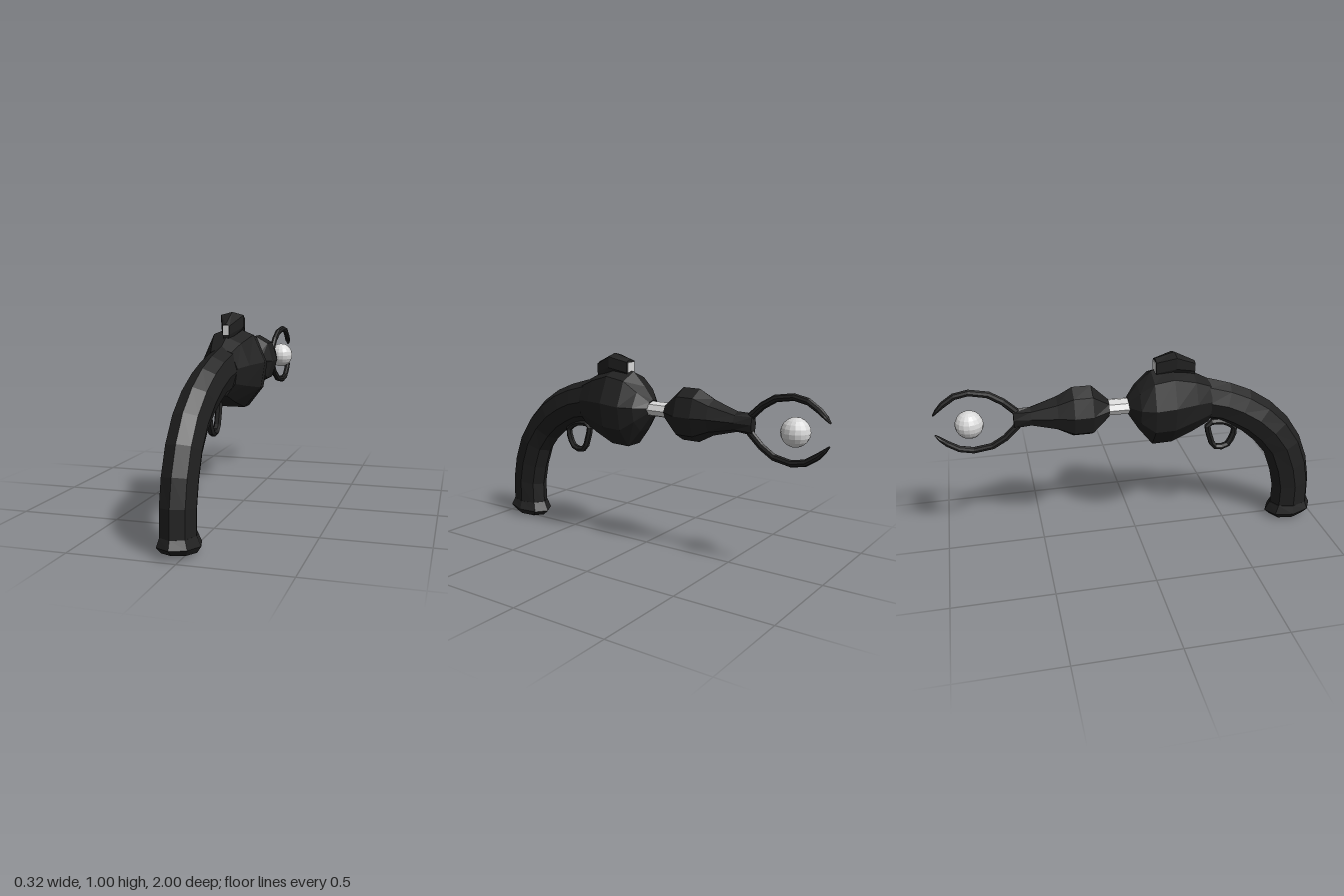
import * as THREE from 'three';

const black = new THREE.MeshStandardMaterial({ color: 0x202020 });
black.name = 'blackened metal';
const silver = new THREE.MeshStandardMaterial({ color: 0xd9d9d9 });
silver.name = 'pale silver';

// Regular octagon as unit cross-section, corners counter-clockwise
const octagon = Array.from({ length: 8 }, (_, i) => {
  const a = (i * Math.PI) / 4;
  return [Math.cos(a), Math.sin(a)];
});
// Pear-shaped cross-section, flatter underneath
const pear = [[1, 0.15], [0.63, 0.8], [0, 1], [-0.63, 0.8], [-1, 0.15],
  [-0.87, -0.47], [-0.35, -0.97], [0.35, -0.97], [0.87, -0.47]];
// House-shaped cross-section with a low roof ridge
const house = [[1, 0.75], [0, 1], [-1, 0.75], [-1, -0.2], [-0.4, -1], [0.4, -1], [1, -0.2]];

// Faceted copy of a geometry
function facet(geometry) {
  const g = geometry.index ? geometry.toNonIndexed() : geometry;
  g.computeVertexNormals();
  return g;
}

// Closed loft; each ring is [zTop, yTop, zBottom, yBottom, xCentre, halfWidth]
function loft(rings, section = octagon) {
  const n = section.length, pos = [], idx = [];
  const centre = (r) => [r[4], (r[1] + r[3]) / 2, (r[0] + r[2]) / 2];
  for (const r of rings) {
    const [cx, cy, cz] = centre(r);
    for (const [u, v] of section) {
      pos.push(cx + u * r[5], cy + (v * (r[1] - r[3])) / 2, cz + (v * (r[0] - r[2])) / 2);
    }
  }
  const last = rings.length - 1, c0 = rings.length * n, c1 = c0 + 1;
  pos.push(...centre(rings[0]), ...centre(rings[last]));
  for (let j = 0; j < n; j++) {
    const k = (j + 1) % n;
    for (let i = 0; i < last; i++) {
      const a = i * n + j, b = i * n + k, c = b + n, d = a + n;
      idx.push(a, d, c, a, c, b);
    }
    idx.push(c0, j, k, c1, last * n + k, last * n + j);
  }
  const g = new THREE.BufferGeometry();
  g.setAttribute('position', new THREE.Float32BufferAttribute(pos, 3));
  g.setIndex(idx);
  return facet(g);
}

// Upright ring at one z: [z, yTop, yBottom, halfWidth]
const upright = (list) => list.map(([z, t, b, w]) => [z, t, z, b, 0, w]);

export function createModel() {
  const model = new THREE.Group();
  const add = (name, geometry, material) => {
    const mesh = new THREE.Mesh(geometry, material);
    mesh.name = name;
    model.add(mesh);
    return mesh;
  };

  // Curved grip, swept from the butt up into the body
  add('grip', loft([
    [0.98, 0.07, 0.765, 0.05, -0.035, 0.08],
    [0.975, 0.22, 0.767, 0.19, -0.035, 0.082],
    [0.95, 0.35, 0.745, 0.29, -0.034, 0.082],
    [0.90, 0.48, 0.705, 0.40, -0.032, 0.082],
    [0.82, 0.60, 0.64, 0.48, -0.029, 0.082],
    [0.72, 0.695, 0.57, 0.54, -0.022, 0.082],
    [0.61, 0.765, 0.50, 0.58, -0.014, 0.08],
    [0.50, 0.81, 0.44, 0.61, -0.007, 0.08],
    [0.38, 0.845, 0.37, 0.62, 0, 0.08],
    [0.25, 0.86, 0.25, 0.62, 0, 0.07],
  ]), black);

  // Flared butt cap
  add('buttCap', loft([
    [0.968, 0.022, 0.77, 0.0, -0.033, 0.08],
    [1.0, 0.052, 0.738, 0.028, -0.033, 0.098],
    [0.98, 0.09, 0.763, 0.08, -0.035, 0.081],
  ]), black);

  // Bulbous body
  add('body', loft(upright([
    [0.385, 0.84, 0.61, 0.08],
    [0.30, 0.885, 0.57, 0.115],
    [0.18, 0.93, 0.525, 0.16],
    [0.08, 0.91, 0.52, 0.145],
    [0.01, 0.84, 0.61, 0.115],
    [-0.04, 0.775, 0.69, 0.05],
  ]), pear), black);

  // Silver neck joining body and front bulb
  add('neck', loft(upright([
    [-0.02, 0.77, 0.692, 0.054],
    [-0.16, 0.77, 0.692, 0.054],
  ])), silver);

  // Front bulb tapering to the fork
  add('frontBulb', loft(upright([
    [-0.14, 0.775, 0.685, 0.055],
    [-0.225, 0.858, 0.592, 0.097],
    [-0.32, 0.858, 0.592, 0.1],
    [-0.40, 0.815, 0.635, 0.08],
    [-0.53, 0.77, 0.67, 0.047],
    [-0.615, 0.768, 0.662, 0.025],
  ])), black);

  // Two curved prongs, mirrored about the axis: [zOuter, yOuter, zInner, yInner, x]
  const axis = 0.7125;
  const prong = [
    [-0.585, 0.765, -0.605, 0.73, 0], [-0.65, 0.826, -0.67, 0.795, 0],
    [-0.72, 0.868, -0.735, 0.835, 0.004], [-0.82, 0.885, -0.82, 0.85, 0.01],
    [-0.895, 0.87, -0.885, 0.837, 0.012], [-0.955, 0.83, -0.935, 0.805, 0.01],
    [-0.985, 0.795, -0.97, 0.78, 0.008], [-1.0, 0.768, -0.995, 0.762, 0.006],
  ];
  const width = (i) => (i === prong.length - 1 ? 0.006 : 0.016);
  add('upperProng', loft(prong.map(([zo, yo, zi, yi, x], i) =>
    [zo, yo, zi, yi, x, width(i)])), black);
  add('lowerProng', loft(prong.map(([zo, yo, zi, yi, x], i) =>
    [zi, 2 * axis - yi, zo, 2 * axis - yo, x, width(i)])), black);

  // Orb floating between the prongs
  add('orb', facet(new THREE.SphereGeometry(0.07, 16, 10)), silver).position.set(0, 0.705, -0.83);

  // Trigger guard loop
  const loop = [[0.535, 0.555], [0.53, 0.515], [0.495, 0.455], [0.43, 0.455],
    [0.40, 0.52], [0.39, 0.59], [0.47, 0.595]]
    .map(([z, y]) => new THREE.Vector3(-0.01, y, z));
  const guardPath = new THREE.CatmullRomCurve3(loop, true);
  add('triggerGuard', facet(new THREE.TubeGeometry(guardPath, 14, 0.017, 6, true)), black);

  // Sight block on top of the body
  add('sight', loft(upright([
    [0.305, 0.947, 0.86, 0.017],
    [0.20, 1.0, 0.88, 0.057],
    [0.10, 0.975, 0.86, 0.036],
  ]), house), black);

  // Pale plates on both ends of the sight
  const plate = (name, w, h, y, z) =>
    add(name, new THREE.BoxGeometry(w, h, 0.006), silver).position.set(0, y, z);
  plate('sightFrontPlate', 0.028, 0.044, 0.917, 0.305);
  plate('sightBackPlate', 0.056, 0.05, 0.932, 0.099);

  return model;
}
